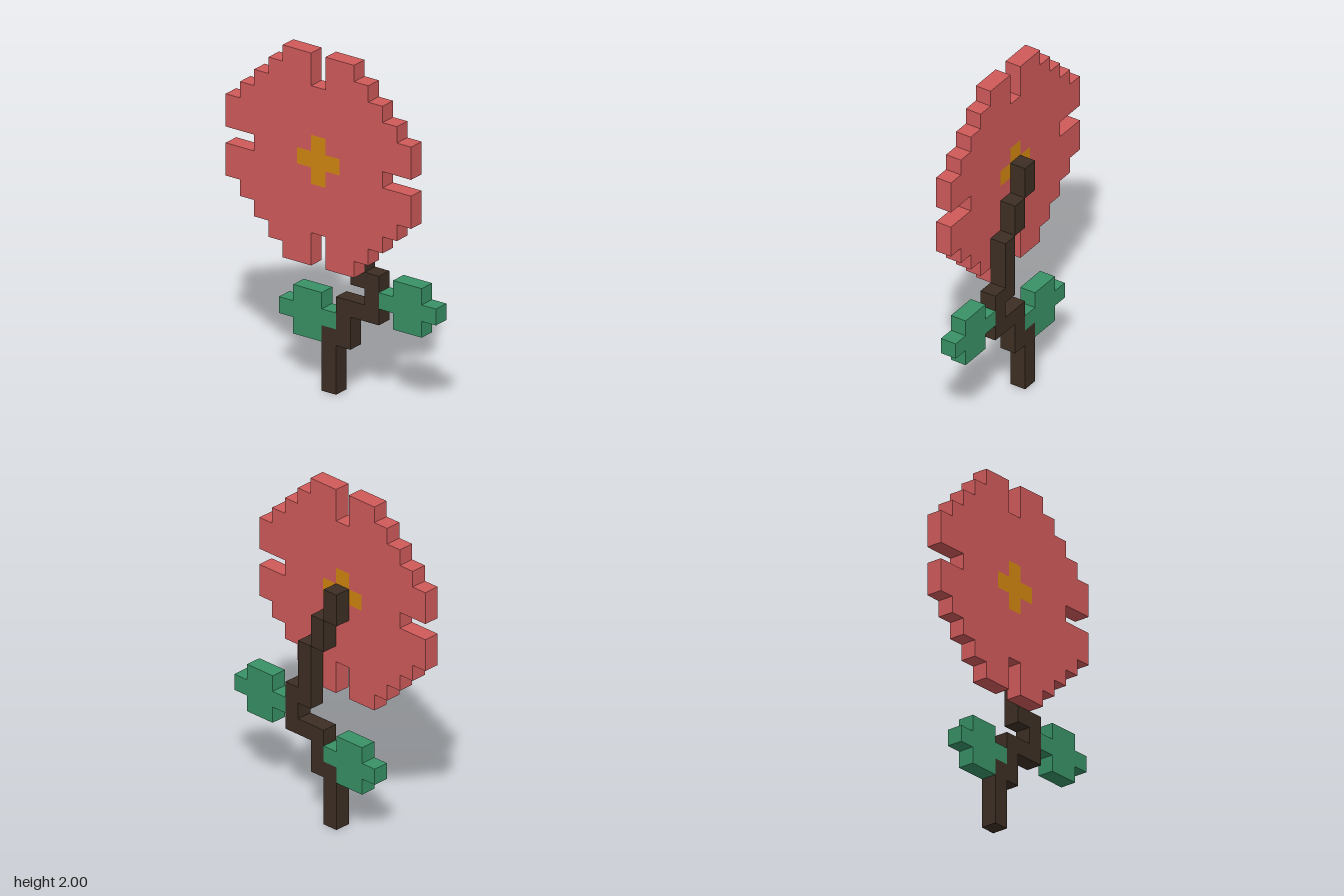
import * as THREE from 'three';

const U = 2 / 21; // one block

const material = (name, color) => {
  const m = new THREE.MeshStandardMaterial({ color });
  m.name = name;
  return m;
};

// Repeats a quarter outline clockwise around a centre
function fourfold(quarter, cx, cy) {
  const points = [];
  for (let i = 0; i < 4; i++) {
    points.push(...quarter);
    quarter = quarter.map(([x, y]) => [y, -x]);
  }
  return points.map(([x, y]) => [x + cx, y + cy]);
}

const toVectors = (points) => points.map(([x, y]) => new THREE.Vector2(x * U, y * U));

// One-block-thick plate from an outline in block units
function slab(name, outline, mat, z, hole) {
  const shape = new THREE.Shape(toVectors(outline));
  if (hole) shape.holes.push(new THREE.Path(toVectors(hole)));
  const geometry = new THREE.ExtrudeGeometry(shape, { depth: U, bevelEnabled: false });
  geometry.translate(0, 0, z * U);
  const mesh = new THREE.Mesh(geometry, mat);
  mesh.name = name;
  return mesh;
}

const rect = (x0, y0, x1, y1) => [[x0, y0], [x1, y0], [x1, y1], [x0, y1]];

export function createModel() {
  const red = material('petal red', 0xd05a5a);
  const gold = material('centre gold', 0xd08510);
  const green = material('leaf green', 0x389165);
  const brown = material('stem brown', 0x3d2e24);
  const model = new THREE.Group();
  model.name = 'flower';

  // Petals with a cross-shaped centre running through to the back
  const petalQuarter = [
    [0.5, 4.5], [0.5, 6.5], [2.5, 6.5], [2.5, 5.5], [3.5, 5.5], [3.5, 4.5], [4.5, 4.5],
    [4.5, 3.5], [5.5, 3.5], [5.5, 2.5], [6.5, 2.5], [6.5, 0.5], [4.5, 0.5],
  ];
  const cross = fourfold([[-0.5, 1.5], [0.5, 1.5], [0.5, 0.5]], -0.5, 14.5);
  model.add(slab('petals', fourfold(petalQuarter, -0.5, 14.5), red, 0, cross));
  model.add(slab('flowerCentre', cross, gold, 0));

  // Stepped stem, its upper part climbing behind the petals
  const stem = new THREE.Group();
  stem.name = 'stem';
  stem.add(slab('lowerStem', [
    [-1, 0], [0, 0], [0, 3], [1, 3], [1, 5], [3, 5], [3, 8], [2, 8], [2, 11],
    [1, 11], [1, 7], [2, 7], [2, 6], [0, 6], [0, 4], [-1, 4],
  ], brown, -1));
  stem.add(slab('middleStem', rect(0, 11, 1, 13), brown, -1));
  stem.add(slab('upperStem', rect(-1, 13, 0, 15), brown, -1));
  model.add(stem);

  // Leaves
  const leaf = [
    [-2, -0.5], [-1, -0.5], [-1, -1.5], [1, -1.5], [1, -0.5], [2, -0.5],
    [2, 0.5], [1, 0.5], [1, 1.5], [-1, 1.5], [-1, 0.5], [-2, 0.5],
  ];
  for (const [name, cx, cy] of [['leftLeaf', 5, 6.5], ['rightLeaf', -2, 4.5]]) {
    model.add(slab(name, leaf.map(([x, y]) => [x + cx, y + cy]), green, -1));
  }
  return model;
}
